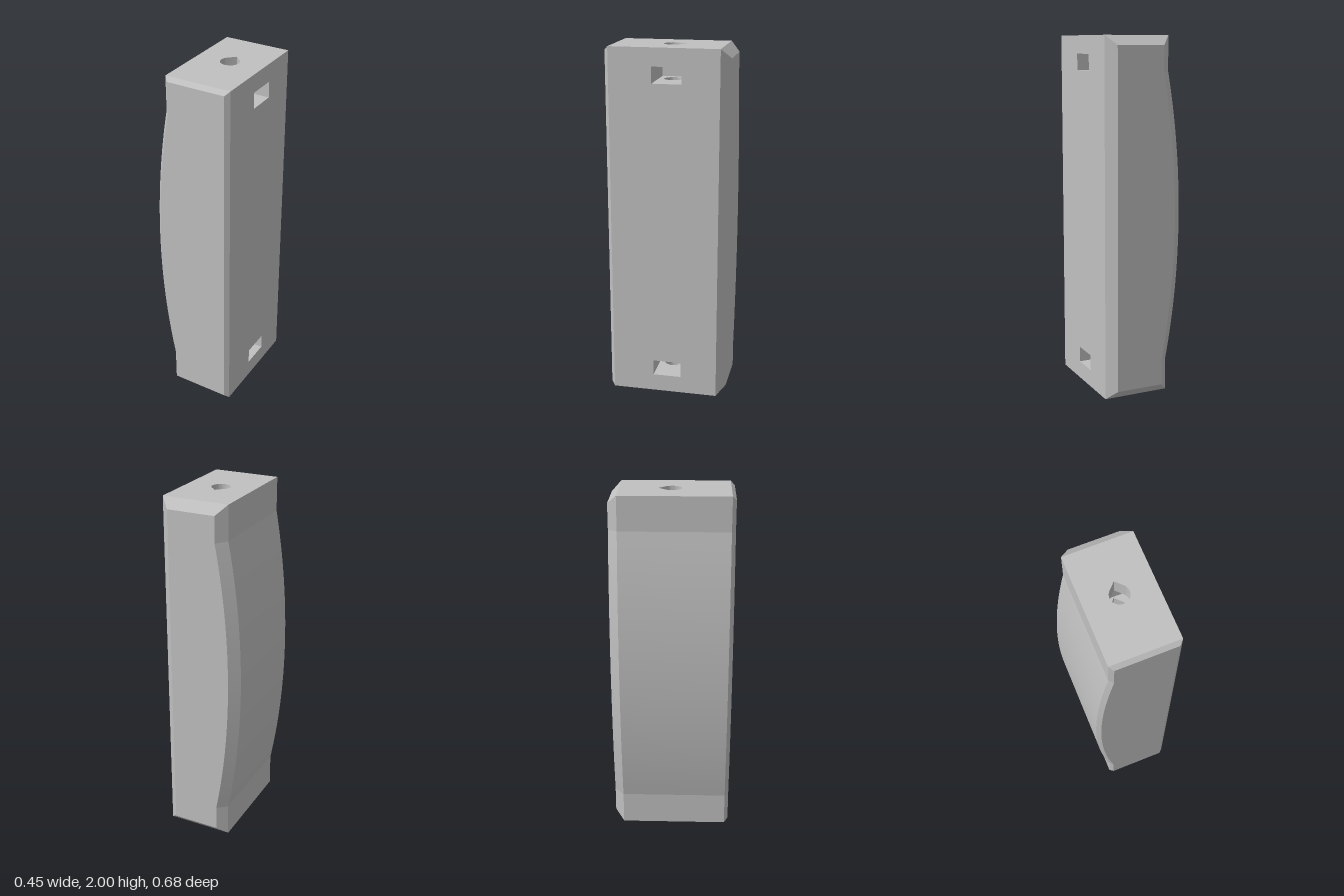
import * as THREE from 'three';
import { toCreasedNormals } from 'three/addons/utils/BufferGeometryUtils.js';

const RIGHT = 0.226, LEFT = -0.15, HEIGHT = 2;
const Z_FRONT = 0.34, Z_BACK = -0.34, BEVEL_FRONT = 0.022, BEVEL_BACK = 0.052;
const zf = Z_FRONT - BEVEL_FRONT, zb = Z_BACK + BEVEL_BACK;

// Places a 2D point on the plane at `pos` along an axis: x -> (y,z), y -> (z,x), z -> (x,y)
const place = {
  x: ([u, v], pos) => [pos, u, v],
  y: ([u, v], pos) => [v, pos, u],
  z: ([u, v], pos) => [u, v, pos],
};
const rect = (u0, u1, v0, v1) => [[u0, v0], [u1, v0], [u1, v1], [u0, v1]];
const vectors = (pts) => pts.map(([u, v]) => new THREE.Vector2(u, v));

// Flat face with optional holes, facing + or - along the axis
function panel(axis, sign, pos, outline, holes = []) {
  const shape = new THREE.Shape(vectors(outline));
  holes.forEach((h) => shape.holes.push(new THREE.Path(vectors(h))));
  const geo = new THREE.ShapeGeometry(shape);
  const p = geo.attributes.position;
  for (let i = 0; i < p.count; i++) p.setXYZ(i, ...place[axis]([p.getX(i), p.getY(i)], pos));
  if (sign < 0) geo.index.array.reverse();
  geo.computeVertexNormals();
  return geo;
}

// Wall between two loops; outward when going up the axis, inward when going down
function band(axis, loopA, posA, loopB, posB, crease, skip = []) {
  const out = [], n = loopA.length;
  for (let i = 0; i < n; i++) {
    if (skip.includes(i)) continue;
    const j = (i + 1) % n;
    const a = place[axis](loopA[i], posA), b = place[axis](loopA[j], posA);
    const c = place[axis](loopB[j], posB), d = place[axis](loopB[i], posB);
    out.push(...a, ...b, ...c, ...a, ...c, ...d);
  }
  const geo = new THREE.BufferGeometry();
  geo.setAttribute('position', new THREE.Float32BufferAttribute(out, 3));
  return toCreasedNormals(geo, crease);
}

// Mitred inward offset of a counter-clockwise loop
function inset(loop, d) {
  const n = loop.length;
  const normal = (a, b) => {
    const l = Math.hypot(b[0] - a[0], b[1] - a[1]);
    return [(b[1] - a[1]) / l, (a[0] - b[0]) / l];
  };
  return loop.map((p, i) => {
    const m = normal(loop[(i + n - 1) % n], p), k = normal(p, loop[(i + 1) % n]);
    const s = d / (1 + m[0] * k[0] + m[1] * k[1]);
    return [p[0] - (m[0] + k[0]) * s, p[1] - (m[1] + k[1]) * s];
  });
}

// Side profile: straight back, short flat ends and a shallow bulge
function bodyProfile() {
  const half = 0.81, rise = 0.076, steps = 32;
  const R = (half * half + rise * rise) / (2 * rise), a = Math.asin(half / R);
  const pts = [[RIGHT, 0], [RIGHT, HEIGHT], [LEFT, HEIGHT]];
  for (let i = 0; i <= steps; i++) {
    const t = a - (2 * a * i) / steps;
    pts.push([LEFT - rise + R - R * Math.cos(t), 1 + R * Math.sin(t)]);
  }
  pts.push([LEFT, 0]);
  return pts;
}

// Teardrop bore outline in (z, x), point towards the back
function teardrop() {
  const r = 0.052, cx = 0.037, steps = 30, pts = [];
  for (let i = 0; i <= steps; i++) {
    const t = Math.PI * 0.75 * (-1 + (2 * i) / steps);
    pts.push([r * Math.cos(t), cx + r * Math.sin(t)]);
  }
  pts.push([-r * Math.SQRT2, cx]);
  return pts;
}

export function createModel() {
  const group = new THREE.Group();
  group.name = 'bulgedHandle';
  const grey = new THREE.MeshStandardMaterial({ color: 0xc0c0c0 });
  grey.name = 'light grey';
  const add = (parent, name, geo) => {
    const mesh = new THREE.Mesh(geo, grey);
    mesh.name = name;
    parent.add(mesh);
  };

  const profile = bodyProfile(), bore = teardrop();
  const front = inset(profile, BEVEL_FRONT), back = inset(profile, BEVEL_BACK);
  const slotZ = 0.081, slotBack = -0.045, slotOuter = 0.1, slotInner = 0.19, boreEnd = 0.3;

  // Body shell
  add(group, 'frontFace', panel('z', 1, Z_FRONT, front));
  add(group, 'backFace', panel('z', -1, Z_BACK, back));
  add(group, 'frontBevel', band('z', profile, zf, front, Z_FRONT, 0.1));
  add(group, 'backBevel', band('z', back, Z_BACK, profile, zb, 0.1));
  add(group, 'bulgedSide', band('z', profile, zb, profile, zf, 0.1, [0, 1, profile.length - 1]));
  add(group, 'flatSide', panel('x', 1, RIGHT, rect(0, HEIGHT, zb, zf), [
    rect(slotOuter, slotInner, -slotZ, slotZ),
    rect(HEIGHT - slotInner, HEIGHT - slotOuter, -slotZ, slotZ),
  ]));

  // Each end: face with bore, and a side slot crossing the bore
  for (const dir of [1, -1]) {
    const end = new THREE.Group();
    end.name = dir > 0 ? 'topEnd' : 'bottomEnd';
    group.add(end);
    const Y = (depth) => (dir > 0 ? HEIGHT - depth : depth);
    const bored = (d0, d1) => {
      const [hi, lo] = dir > 0 ? [Y(d0), Y(d1)] : [Y(d1), Y(d0)];
      return band('y', bore, hi, bore, lo, 0.4);
    };
    const slotPlan = rect(-slotZ, slotZ, slotBack, RIGHT);
    const y0 = Math.min(Y(slotOuter), Y(slotInner)), y1 = Math.max(Y(slotOuter), Y(slotInner));

    add(end, 'endFace', panel('y', dir, Y(0), rect(zb, zf, LEFT, RIGHT), [bore]));
    add(end, 'outerBore', bored(0, slotOuter));
    add(end, 'innerBore', bored(slotInner, boreEnd));
    add(end, 'boreBottom', panel('y', dir, Y(boreEnd), bore));
    add(end, 'slotOuterWall', panel('y', -dir, Y(slotOuter), slotPlan, [bore]));
    add(end, 'slotInnerWall', panel('y', dir, Y(slotInner), slotPlan, [bore]));
    add(end, 'slotBackWall', panel('x', 1, slotBack, rect(y0, y1, -slotZ, slotZ)));
    for (const s of [1, -1]) {
      add(end, 'slotSideWall', panel('z', -s, s * slotZ, rect(slotBack, RIGHT, y0, y1)));
    }
  }
  return group;
}
